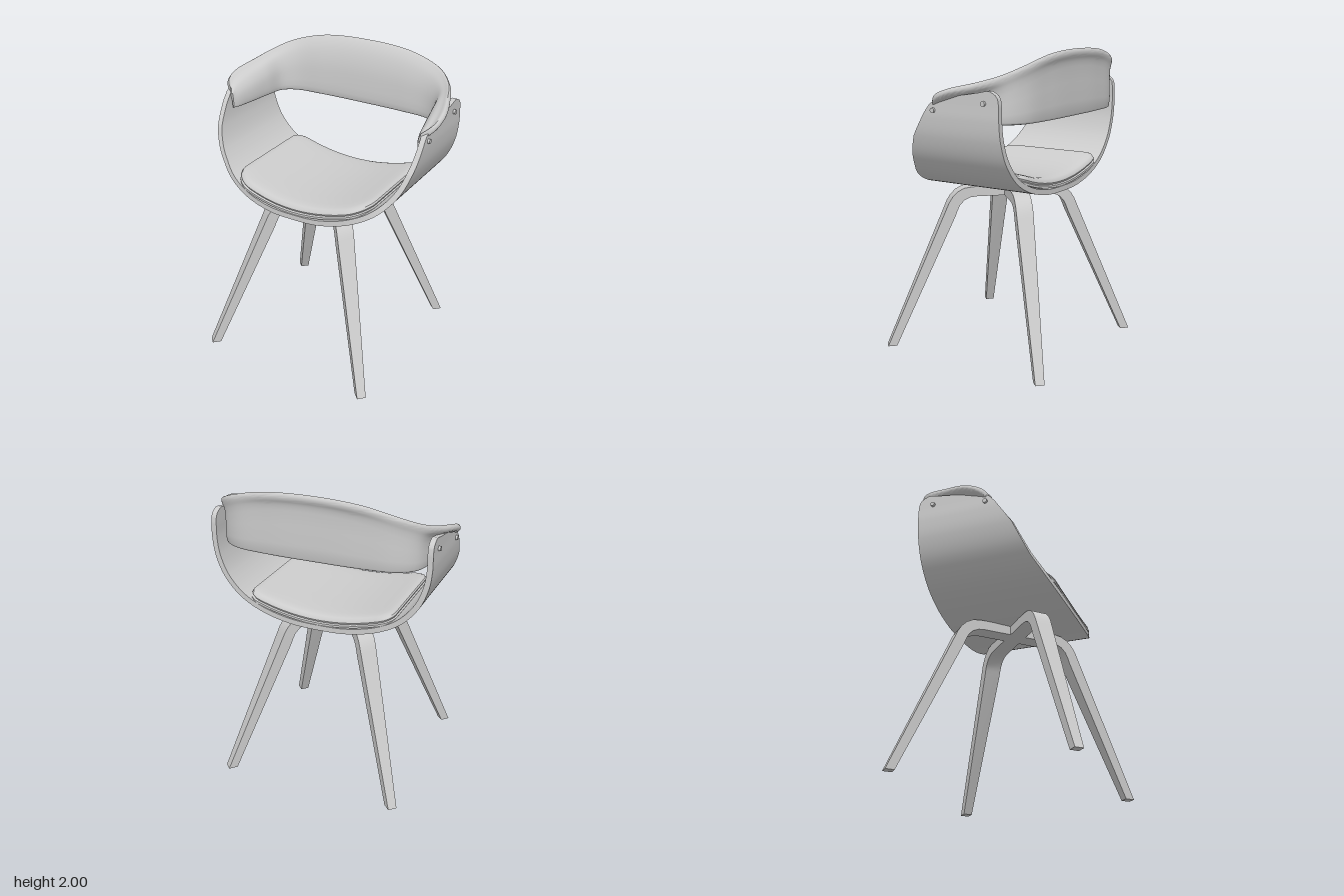
import * as THREE from 'three';
import { toCreasedNormals } from 'three/addons/utils/BufferGeometryUtils.js';

const V = (x, y, z) => new THREE.Vector3(x, y, z);
const lerp = THREE.MathUtils.lerp;
const material = new THREE.MeshStandardMaterial({ color: 0xcccccc });

// Piecewise linear lookup in a list of [key, value] pairs
function lookup(table, k) {
  let i = 1;
  while (i < table.length - 1 && k > table[i][0]) i++;
  const [k0, v0] = table[i - 1], [k1, v1] = table[i];
  return lerp(v0, v1, THREE.MathUtils.clamp((k - k0) / (k1 - k0), 0, 1));
}

// Skin a list of closed cross-sections, cap both ends and face everything outward
function loft(rings, crease) {
  const n = rings[0].length, pts = rings.flat(), tris = [];
  for (let i = 0; i < rings.length - 1; i++) {
    for (let j = 0; j < n; j++) {
      const a = i * n + j, b = i * n + (j + 1) % n;
      tris.push([a, b, b + n], [a, b + n, a + n]);
    }
  }
  for (const [start, flip] of [[0, true], [(rings.length - 1) * n, false]]) {
    const c = V(0, 0, 0);
    for (let j = 0; j < n; j++) c.addScaledVector(pts[start + j], 1 / n);
    const m = pts.push(c) - 1;
    for (let j = 0; j < n; j++) {
      const a = start + j, b = start + (j + 1) % n;
      tris.push(flip ? [m, b, a] : [m, a, b]);
    }
  }
  let volume = 0;
  for (const [a, b, c] of tris) volume += pts[a].dot(V(0, 0, 0).crossVectors(pts[b], pts[c]));
  const geo = new THREE.BufferGeometry().setFromPoints(pts);
  geo.setIndex(tris.flatMap(([a, b, c]) => (volume < 0 ? [a, c, b] : [a, b, c])));
  return toCreasedNormals(geo, crease);
}

// Bent plywood shell: U profile whose depth changes with height
function shellGeometry() {
  const half = [[0.2, 1.09], [0.4, 1.14], [0.55, 1.222], [0.66, 1.345], [0.717, 1.48], [0.735, 1.6], [0.735, 1.7], [0.735, 1.783]];
  const curve = new THREE.CatmullRomCurve3([
    ...half.map(([x, y]) => V(-x, y, 0)).reverse(), V(0, 1.08, 0), ...half.map(([x, y]) => V(x, y, 0))]);
  const front = [[1.08, 0.45], [1.17, 0.395], [1.28, 0.33], [1.48, 0.245], [1.64, 0.14], [1.69, 0.1],
    [1.715, 0.05], [1.745, -0.1], [1.77, -0.25], [1.783, -0.31]];
  const back = [[1.08, -0.4], [1.7, -0.395], [1.74, -0.388], [1.765, -0.37], [1.783, -0.33]];
  const rings = [], steps = 220, thick = 0.035;
  for (let i = 0; i <= steps; i++) {
    const p = curve.getPointAt(i / steps), t = curve.getTangentAt(i / steps);
    const q = V(p.x - t.y * thick, p.y + t.x * thick, 0);
    const zf = lookup(front, p.y), zb = lookup(back, p.y);
    rings.push([V(p.x, p.y, zb), V(p.x, p.y, zf), V(q.x, q.y, zf), V(q.x, q.y, zb)]);
  }
  return loft(rings, 0.6);
}

// Seat pad: rounded outline, bowed front, bent to the shell
function cushionGeometry() {
  const w = 0.5, d = 0.4, rf = 0.14, rb = 0.08;
  const s = new THREE.Shape();
  s.absarc(w - rf, d - rf, rf, 0, Math.PI / 2);
  s.absarc(-w + rf, d - rf, rf, Math.PI / 2, Math.PI);
  s.absarc(-w + rb, -d + rb, rb, Math.PI, Math.PI * 1.5);
  s.absarc(w - rb, -d + rb, rb, Math.PI * 1.5, Math.PI * 2);
  s.closePath();
  const outline = s.getSpacedPoints(128).slice(0, -1);
  // [scale, height] from the crown over the rim and seam to the underside
  const profile = [[0.05, 0.07], [0.2, 0.07], [0.4, 0.07], [0.6, 0.07], [0.8, 0.069], [0.89, 0.066], [0.94, 0.06], [0.975, 0.048],
    [0.988, 0.034], [0.975, 0.022], [1, 0.016], [1, 0.002], [0.9, -0.006], [0.6, -0.006], [0.3, -0.006], [0.05, -0.006]];
  return loft(profile.map(([k, h]) => outline.map(({ x, y }) => {
    const bow = 0.045 * (1 - (x / w) ** 2) * Math.max(y / d, 0);
    return V(x * k, 1.115 + 0.4 * (x * k) ** 2 + h, (y + bow) * k);
  })), 0.7);
}

// Backrest and arms: one band whose lip rolls outward over the shell
function backrestGeometry() {
  // inner foot x,z | outer foot x,z | lip x,z | top height
  const half = [
    [0.3, -0.405, 0.3, -0.485, 0.33, -0.502, 1.98],
    [0.5, -0.385, 0.53, -0.455, 0.56, -0.455, 1.92],
    [0.58, -0.33, 0.64, -0.375, 0.67, -0.36, 1.868],
    [0.61, -0.2, 0.68, -0.22, 0.735, -0.22, 1.825],
    [0.635, -0.05, 0.695, -0.05, 0.78, -0.05, 1.785],
    [0.66, 0.06, 0.695, 0.06, 0.765, 0.05, 1.745],
    [0.68, 0.105, 0.69, 0.105, 0.7, 0.105, 1.7]];
  const mirrored = half.map(([a, b, c, d, e, f, t]) => [-a, b, -c, d, -e, f, t]).reverse();
  const stations = [...mirrored, [0, -0.41, 0, -0.49, 0, -0.51, 2], ...half];
  const base = 1.58;
  const sections = stations.map(([ax, az, ox, oz, lx, lz, top]) => {
    const a = V(ax, 0, az), o = V(ox, 0, oz), l = V(lx, 0, lz), h = top - base;
    const at = (p, q, k, y) => p.clone().lerp(q, k).setY(y);
    const loop = [
      at(a, o, 0.12, base), at(a, o, 0, base + 0.012), at(a, l, 0, base + h * 0.35),
      at(a, l, 0.1, base + h * 0.6), at(a, l, 0.35, base + h * 0.82), at(a, l, 0.65, top - 0.02),
      at(a, l, 0.87, top), at(a, l, 1, top - 0.017), at(l, o, 0.08, top - 0.04),
      at(l, o, 0.65, top - 0.065), at(l, o, 1, Math.max(top - 0.11, base + 0.04)),
      at(o, a, 0, base + 0.012), at(o, a, 0.12, base)];
    return new THREE.CatmullRomCurve3(loop, true, 'centripetal').getPoints(39).slice(0, -1);
  });
  const rails = sections[0].map((_, j) => new THREE.CatmullRomCurve3(sections.map((s) => s[j])));
  const rings = [], steps = 112;
  for (let i = 0; i <= steps; i++) rings.push(rails.map((r) => r.getPoint(i / steps)));
  return loft(rings, 0.8);
}

// Leg: flat arm from the hub, bent down to a tapered foot, along local +x
function legGeometry() {
  // upper x,y | lower x,y | half width
  const rows = [
    [0, 1.085, 0, 1.02, 0.055], [0.27, 1.085, 0.24, 1.02, 0.055], [0.325, 1.078, 0.285, 1.015, 0.055],
    [0.37, 1.055, 0.325, 0.997, 0.055], [0.405, 1.02, 0.355, 0.965, 0.055],
    [0.43, 0.98, 0.372, 0.93, 0.055], [0.447, 0.94, 0.387, 0.89, 0.054], [0.855, 0, 0.795, 0, 0.029]];
  return loft(rows.map(([ox, oy, ix, iy, w]) => [V(ox, oy, -w), V(ox, oy, w), V(ix, iy, w), V(ix, iy, -w)]), 0.5);
}

export function createModel() {
  const chair = new THREE.Group();
  chair.name = 'armchair';
  const add = (name, geometry) => {
    const mesh = new THREE.Mesh(geometry, material);
    mesh.name = name;
    chair.add(mesh);
    return mesh;
  };
  add('seatShell', shellGeometry());
  add('seatCushion', cushionGeometry());
  add('backrestAndArms', backrestGeometry());

  const leg = legGeometry();
  ['frontLeftLeg', 'backLeftLeg', 'backRightLeg', 'frontRightLeg'].forEach((name, i) => {
    add(name, leg).rotation.y = -Math.PI / 4 + i * Math.PI / 2;
  });

  // Bolts fixing the arms to the shell
  const bolt = new THREE.CylinderGeometry(0.015, 0.015, 0.024, 20).rotateZ(Math.PI / 2);
  for (const side of [1, -1]) {
    for (const [y, z] of [[1.65, 0.075], [1.71, -0.292]]) {
      add(side > 0 ? 'leftBolt' : 'rightBolt', bolt).position.set(side * 0.738, y, z);
    }
  }
  return chair;
}
